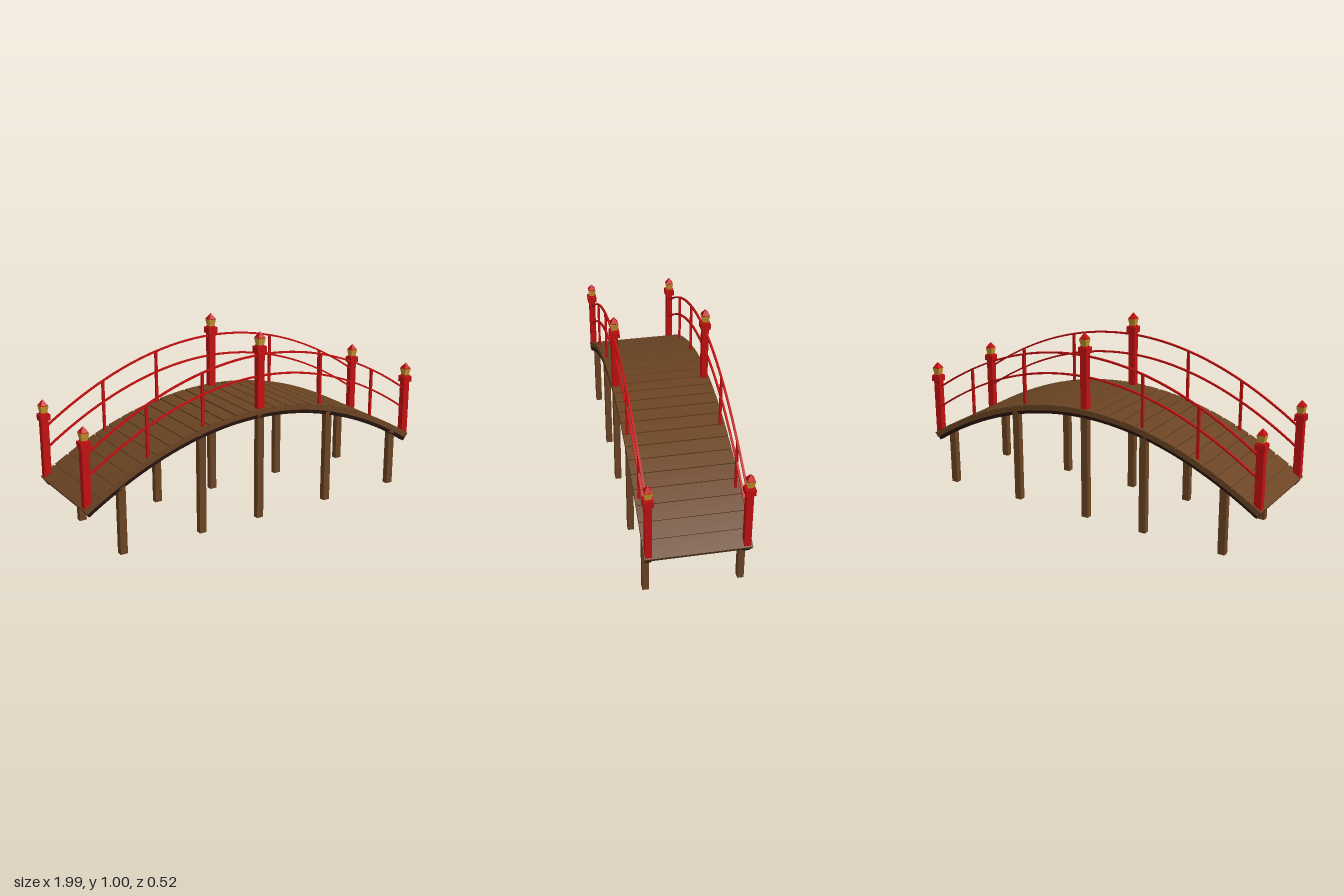
import * as THREE from 'three';

export function createModel() {
  const mat = (name, color) => {
    const m = new THREE.MeshStandardMaterial({ color });
    m.name = name;
    return m;
  };
  const wood = mat('brown wood', 0x6b4423);
  const darkWood = mat('dark wood', 0x24120e);
  const red = mat('red lacquer', 0xc41010);
  const gold = mat('lantern gold', 0xc8962f);

  const bridge = new THREE.Group();
  bridge.name = 'archedBridge';

  const add = (parent, name, geometry, material, x = 0, y = 0, z = 0) => {
    const mesh = new THREE.Mesh(geometry, material);
    mesh.name = name;
    mesh.position.set(x, y, z);
    parent.add(mesh);
    return mesh;
  };

  // Arch curves: the rails bend a little more than the deck
  const arch = (crown, bend) => ({ y: x => crown - bend * x * x, slope: x => -2 * bend * x });
  const deck = arch(0.6, 0.327);
  const sides = [0.235, -0.231];

  // Bent strip between two depths measured square to an arch
  function strip(curve, x0, x1, upper, lower, z0, z1, n) {
    const at = (i, d) => {
      const x = x0 + (x1 - x0) * i / n, s = curve.slope(x), l = Math.hypot(1, s);
      return new THREE.Vector2(x + s * d / l, curve.y(x) - d / l);
    };
    const points = [];
    for (let i = 0; i <= n; i++) points.push(at(i, lower));
    for (let i = n; i >= 0; i--) points.push(at(i, upper));
    const g = new THREE.ExtrudeGeometry(new THREE.Shape(points), { depth: z1 - z0, bevelEnabled: false });
    return g.translate(0, 0, z0);
  }

  // Square tapered block with flat faces, standing on y = 0
  function taper(topHalf, bottomHalf, height) {
    const g = new THREE.CylinderGeometry(topHalf * Math.SQRT2, bottomHalf * Math.SQRT2, height, 4)
      .rotateY(Math.PI / 4).translate(0, height / 2, 0).toNonIndexed();
    g.computeVertexNormals();
    return g;
  }

  // Deck slab with separate planks on top
  const end = 0.994, planks = 26, step = 2 * end / planks, gap = 0.008;
  add(bridge, 'deckSlab', strip(deck, -end, end, 0.007, 0.03, -0.256, 0.254, 52), wood);
  for (let i = 0; i < planks; i++) {
    const a = -end + i * step + (i ? gap / 2 : 0);
    const b = -end + (i + 1) * step - (i < planks - 1 ? gap / 2 : 0);
    add(bridge, 'plank', strip(deck, a, b, 0, 0.008, -0.257, 0.255, 2), wood);
  }

  // Newel post with collar, lantern and pointed roof
  function newel(x, z, bottom, top) {
    const post = new THREE.Group();
    post.name = 'lanternPost';
    post.position.set(x, 0, z);
    const h = top - bottom;
    add(post, 'postShaft', new THREE.BoxGeometry(0.038, h, 0.033), red, 0, bottom + h / 2);
    add(post, 'postCollar', new THREE.BoxGeometry(0.052, 0.032, 0.049), red, 0, top + 0.016);
    add(post, 'lanternBase', taper(0.0175, 0.0175, 0.006), red, 0, top + 0.032);
    add(post, 'lantern', taper(0.021, 0.0145, 0.036), gold, 0, top + 0.038);
    add(post, 'lanternEave', taper(0.019, 0.019, 0.004), red, 0, top + 0.074);
    add(post, 'lanternRoof', taper(0.0002, 0.019, 0.029), red, 0, top + 0.078);
    bridge.add(post);
  }

  const topRail = arch(0.877, 0.362), lowRail = arch(0.767, 0.364);
  for (const z of sides) {
    // Dark beam under each edge
    add(bridge, 'edgeBeam', strip(deck, -end, end, 0.03, 0.049, z - 0.016, z + 0.016, 52), darkWood);

    // Legs
    for (const x of [-0.792, -0.346, 0, 0.433, 0.878]) {
      const h = deck.y(x) - 0.033;
      add(bridge, 'leg', new THREE.BoxGeometry(0.038, h, 0.032), wood, x, h / 2, z);
    }

    // Lantern posts at the crown and both ends
    newel(0, z, 0.58, 0.89);
    for (const x of [-0.97, 0.97]) newel(x, z, 0.282, 0.58);

    // Rails and their uprights
    for (const rail of [topRail, lowRail]) {
      add(bridge, 'handrail', strip(rail, -0.97, 0.97, -0.0045, 0.0045, z - 0.005, z + 0.005, 40), red);
    }
    for (const x of [-0.642, -0.334, 0.38, 0.726]) {
      const bottom = deck.y(x) - 0.01, h = topRail.y(x) - bottom;
      add(bridge, 'railUpright', new THREE.BoxGeometry(0.013, h, 0.012), red, x, bottom + h / 2, z);
    }
  }
  return bridge;
}
